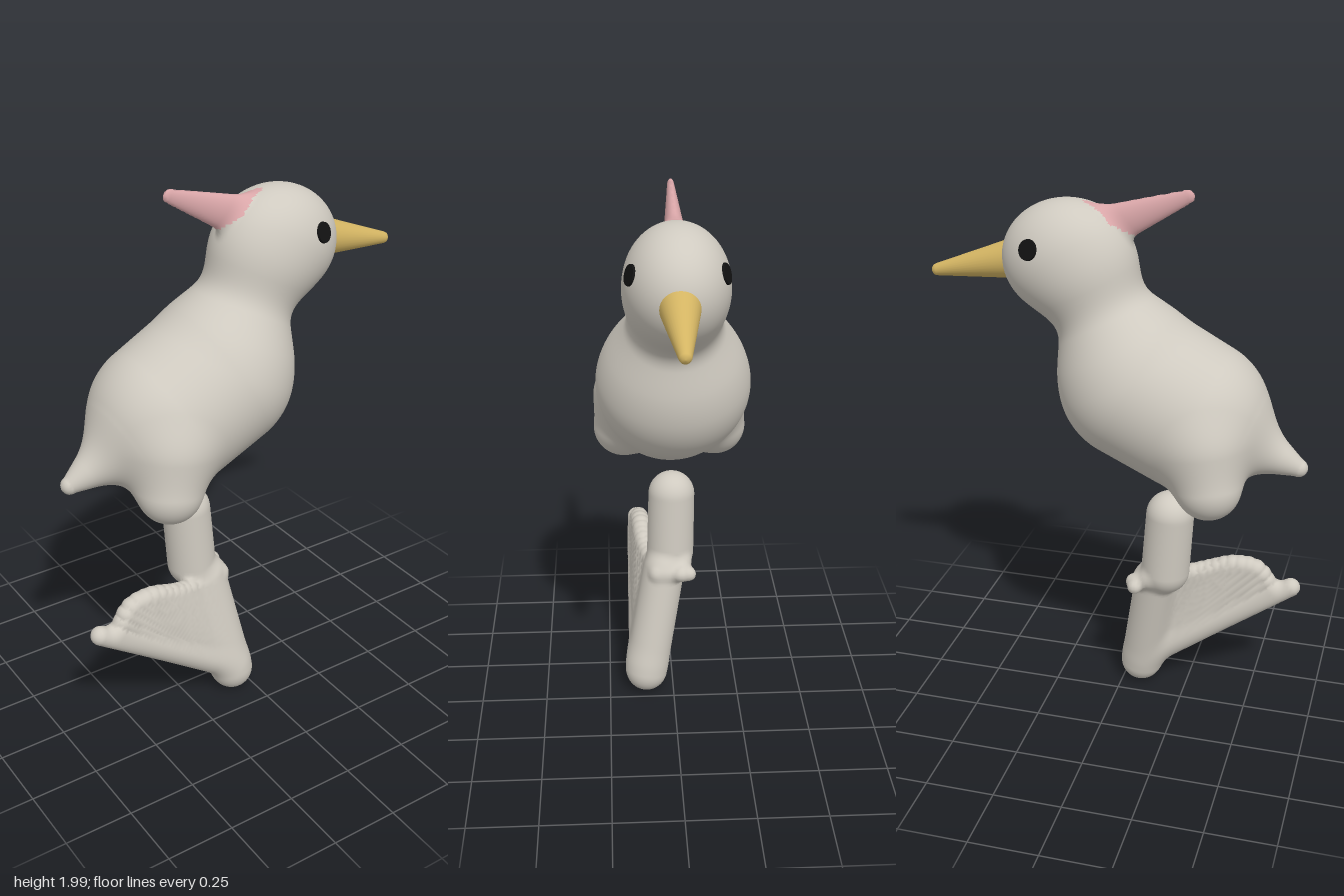
import * as THREE from 'three';

const V = (x, y, z = 0) => new THREE.Vector3(x, y, z);

const mat = (name, color) => {
  const m = new THREE.MeshStandardMaterial({ color });
  m.name = name;
  return m;
};

// ---- soft shape helpers: signed distances that can be blended ----
const mix = (a, b, t) => a + (b - a) * t;
const blend = (a, b, k) => {
  const h = Math.max(k - Math.abs(a - b), 0) / k;
  return Math.min(a, b) - h * h * k * 0.25;
};
// Tapered capsule from a (radius ra) to b (radius rb)
function limb(a, b, ra, rb = ra) {
  const dx = b.x - a.x, dy = b.y - a.y, dz = b.z - a.z;
  const len2 = dx * dx + dy * dy + dz * dz;
  return (x, y, z) => {
    const px = x - a.x, py = y - a.y, pz = z - a.z;
    const h = Math.min(1, Math.max(0, (px * dx + py * dy + pz * dz) / len2));
    return Math.hypot(px - dx * h, py - dy * h, pz - dz * h) - mix(ra, rb, h);
  };
}
function ellipsoid(c, r) {
  return (x, y, z) => {
    const px = (x - c.x) / r.x, py = (y - c.y) / r.y, pz = (z - c.z) / r.z;
    const k0 = Math.hypot(px, py, pz);
    const k1 = Math.hypot(px / r.x, py / r.y, pz / r.z);
    return k1 < 1e-6 ? -r.z : k0 * (k0 - 1) / k1;
  };
}
function gradient(f, p) {
  const e = 0.002;
  return V(
    f(p.x + e, p.y, p.z) - f(p.x - e, p.y, p.z),
    f(p.x, p.y + e, p.z) - f(p.x, p.y - e, p.z),
    f(p.x, p.y, p.z + e) - f(p.x, p.y, p.z - e)
  ).divideScalar(2 * e);
}
function toSurface(f, p, steps = 2) {
  for (let i = 0; i < steps; i++) {
    const g = gradient(f, p);
    p.addScaledVector(g, -f(p.x, p.y, p.z) / Math.max(g.lengthSq(), 0.2));
  }
  return p;
}

// Skins a soft shape with quads; groupOf picks the material of each quad
function skin(f, min, max, cell, groupOf = () => 0) {
  const n = ['x', 'y', 'z'].map((k) => Math.ceil((max[k] - min[k]) / cell) + 1);
  const step = [1, n[0], n[0] * n[1]];
  const d = new Float32Array(n[0] * n[1] * n[2]);
  const each = (fn) => {
    for (let k = 0; k < n[2]; k++) for (let j = 0; j < n[1]; j++) for (let i = 0; i < n[0]; i++)
      fn(i, j, k, i + j * step[1] + k * step[2]);
  };
  each((i, j, k, id) => { d[id] = f(min.x + i * cell, min.y + j * cell, min.z + k * cell); });

  // One point in every cell that the surface crosses
  const vert = new Int32Array(d.length).fill(-1);
  const points = [], pos = [], nor = [];
  each((i, j, k, id) => {
    if (i === n[0] - 1 || j === n[1] - 1 || k === n[2] - 1) return;
    const sum = V(0, 0, 0);
    let hits = 0;
    for (let c = 0; c < 8; c++) for (let a = 0; a < 3; a++) {
      if (c & (1 << a)) continue;
      const o = [c & 1, (c >> 1) & 1, (c >> 2) & 1];
      const q = id + o[0] + o[1] * step[1] + o[2] * step[2];
      const d0 = d[q], d1 = d[q + step[a]];
      if ((d0 < 0) === (d1 < 0)) continue;
      o[a] += d0 / (d0 - d1);
      sum.add(V(o[0], o[1], o[2]));
      hits++;
    }
    if (!hits) return;
    const p = sum.divideScalar(hits).add(V(i, j, k)).multiplyScalar(cell).add(min);
    toSurface(f, p);
    vert[id] = points.length;
    points.push(p);
    pos.push(p.x, p.y, p.z);
    nor.push(...gradient(f, p).normalize().toArray());
  });

  // One quad around every grid edge that the surface crosses
  const faces = [[], []];
  each((i, j, k, id) => {
    for (let a = 0; a < 3; a++) {
      const at = [i, j, k], b = (a + 1) % 3, c = (a + 2) % 3;
      if (at[a] === n[a] - 1 || !at[b] || !at[c]) continue;
      const inside = d[id] < 0;
      if (inside === (d[id + step[a]] < 0)) continue;
      const q = [id - step[b] - step[c], id - step[c], id, id - step[b]].map((v) => vert[v]);
      if (q.includes(-1)) continue;
      if (!inside) q.reverse();
      const mid = V(0, 0, 0);
      q.forEach((v) => mid.addScaledVector(points[v], 0.25));
      faces[groupOf(mid)].push(q[0], q[1], q[2], q[0], q[2], q[3]);
    }
  });
  const g = new THREE.BufferGeometry();
  g.setAttribute('position', new THREE.Float32BufferAttribute(pos, 3));
  g.setAttribute('normal', new THREE.Float32BufferAttribute(nor, 3));
  g.setIndex(faces[0].concat(faces[1]));
  g.addGroup(0, faces[0].length, 0);
  if (faces[1].length) g.addGroup(faces[0].length, faces[1].length, 1);
  return g;
}

export function createModel() {
  const model = new THREE.Group();
  const grey = mat('plumage grey', 0xcfcac0);
  const pink = mat('crest pink', 0xd9a6a8);
  const gold = mat('beak gold', 0xd4b563);
  const black = mat('eye black', 0x121212);
  const add = (name, geo, material) => {
    const m = new THREE.Mesh(geo, material);
    m.name = name;
    model.add(m);
    return m;
  };

  // Body, neck, head, tail, thighs and crest in one soft skin
  const trunk = limb(V(-0.275, 1.205), V(-0.07, 1.31), 0.272, 0.278);
  const neck = limb(V(0, 1.45), V(0.1, 1.65), 0.15, 0.145);
  const head = ellipsoid(V(0.175, 1.738), V(0.235, 0.208, 0.181));
  const tail = limb(V(-0.657, 1.043), V(-0.46, 1.13), 0.032, 0.12);
  const thigh = limb(V(-0.37, 1.015, 0.178), V(-0.35, 1.14, 0.165), 0.115);
  const crest = limb(V(0.03, 1.86), V(-0.238, 1.975), 0.072, 0.024);
  const bird = (x, y, z) => {
    let r = blend(trunk(x, y, z), neck(x, y, z), 0.14);
    r = blend(r, head(x, y, z), 0.09);
    r = blend(r, tail(x, y, z), 0.08);
    r = blend(r, thigh(x, y, Math.abs(z)), 0.08);
    return blend(r, crest(x, y, z * 1.9), 0.04);
  };
  const isCrest = (p) =>
    p.y > 1.83 + 0.58 * (p.x + 0.07) && p.x < 0.14 - 2.4 * Math.abs(p.z) && p.y > 1.8 ? 1 : 0;
  add('body', skin(bird, V(-0.73, 0.86, -0.335), V(0.45, 2.04, 0.335), 0.0105, isCrest), [grey, pink]);

  // Eyes: thin discs lying on the head
  for (const side of [1, -1]) {
    const p = toSurface(bird, V(0.272, 1.802, 0.16 * side), 4);
    const out = gradient(bird, p).normalize();
    const eye = add(side > 0 ? 'rightEye' : 'leftEye', new THREE.CylinderGeometry(0.035, 0.037, 0.009, 24), black);
    eye.position.copy(p);
    eye.quaternion.setFromUnitVectors(V(0, 1, 0), out);
  }

  // Beak: tapered with a rounded tip
  const profile = [[0.074, 0], [0.065, 0.06], [0.022, 0.325], [0.019, 0.336], [0.011, 0.343], [0, 0.345]];
  const beak = add('beak', new THREE.LatheGeometry(profile.map(([r, h]) => new THREE.Vector2(r, h)), 32), gold);
  beak.position.set(0.345, 1.73, 0);
  beak.quaternion.setFromUnitVectors(V(0, 1, 0), V(0.335, -0.072, 0).normalize());

  // Leg with a small toe bar, a shank and a webbed foot
  const upper = limb(V(-0.198, 0.802, 0), V(-0.182, 0.565, 0.006), 0.088, 0.09);
  const bar = limb(V(-0.085, 0.512, 0.06), V(-0.08, 0.512, -0.062), 0.027);
  const knob = limb(V(-0.12, 0.535, -0.04), V(-0.066, 0.518, -0.03), 0.03, 0.026);
  const shank = limb(V(-0.07, 0.09, 0.105), V(-0.14, 0.51, 0.03), 0.08, 0.078);
  const toe = limb(V(-0.64, 0.488, 0.128), V(-0.08, 0.125, 0.108), 0.035, 0.06);
  const rim = new THREE.CatmullRomCurve3([
    V(-0.56, 0.48, 0.125), V(-0.51, 0.55, 0.12), V(-0.43, 0.563, 0.115), V(-0.3, 0.525, 0.1), V(-0.16, 0.49, 0.06)
  ]);
  const web = rim.getSpacedPoints(15).map((end) => limb(V(-0.085, 0.13, 0.108), end, 0.055, 0.037));
  const leg = (x, y, z) => {
    let r = 9;
    for (const ray of web) r = Math.min(r, ray(x, y, z));
    r = blend(r, toe(x, y, z), 0.03);
    r = blend(r, shank(x, y, z), 0.04);
    const top = blend(upper(x, y, z), blend(bar(x, y, z), knob(x, y, z), 0.02), 0.03);
    return blend(r, top, 0.02);
  };
  add('legAndFoot', skin(leg, V(-0.72, -0.02, -0.14), V(0.06, 0.93, 0.23), 0.012), grey);

  return model;
}
